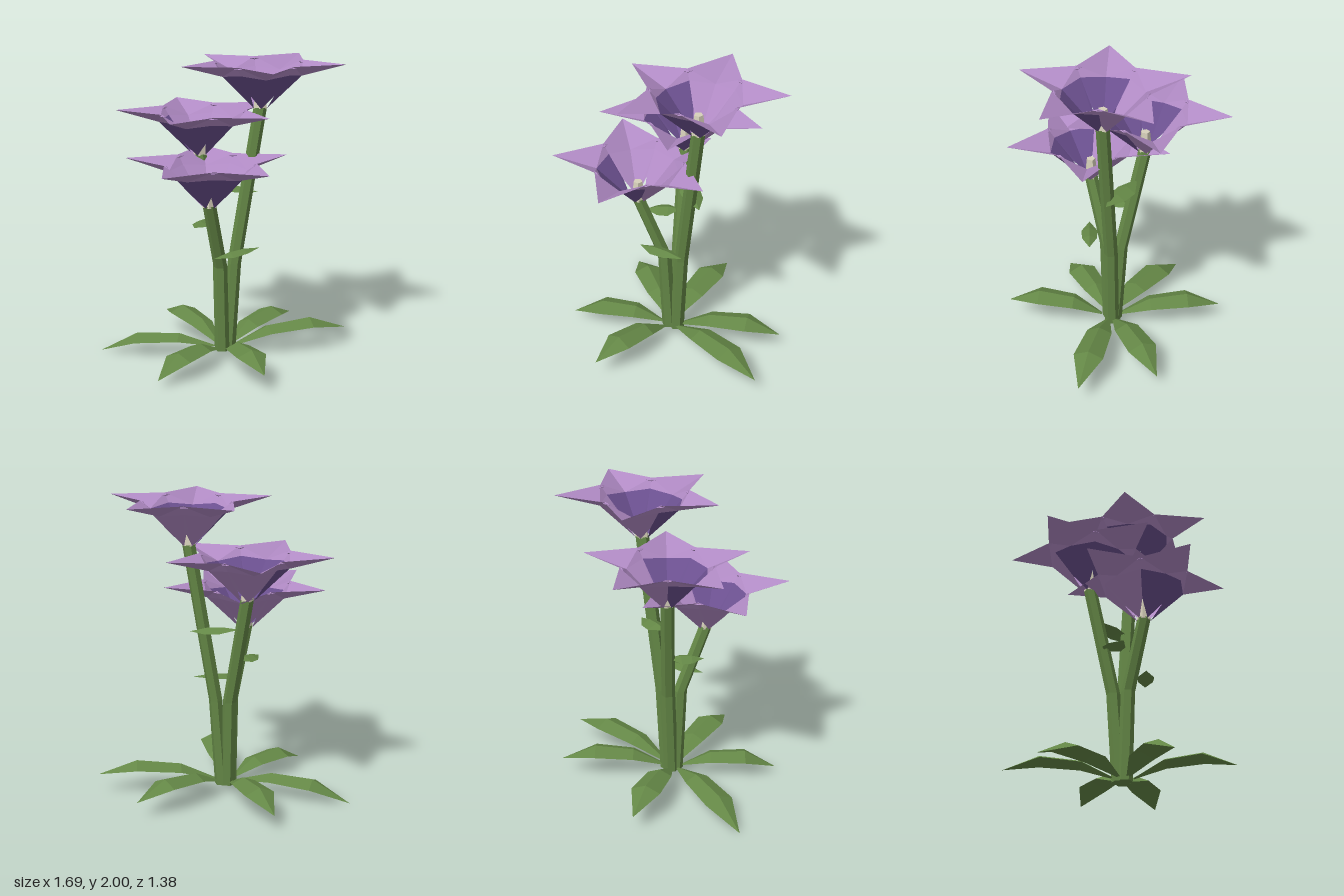
import * as THREE from 'three';

const petalPurple = new THREE.MeshStandardMaterial({ color: 0xb08ac4, side: THREE.DoubleSide });
petalPurple.name = 'petal purple';
const throatViolet = new THREE.MeshStandardMaterial({ color: 0x6b508f, side: THREE.DoubleSide });
throatViolet.name = 'throat violet';
const leafGreen = new THREE.MeshStandardMaterial({ color: 0x648746, side: THREE.DoubleSide });
leafGreen.name = 'leaf green';
const pistilCream = new THREE.MeshStandardMaterial({ color: 0xd6d0ba });
pistilCream.name = 'pistil cream';

// Flat-shaded skin between rows of points; mirrored flips the diagonals of even columns
function loft(rows, mirrored = false) {
  const pos = [];
  const tri = (...pts) => pts.forEach((p) => pos.push(p.x, p.y, p.z));
  for (let i = 0; i < rows.length - 1; i++) {
    for (let j = 0; j < rows[i].length - 1; j++) {
      const a = rows[i][j], b = rows[i][j + 1], c = rows[i + 1][j + 1], d = rows[i + 1][j];
      if (mirrored && j % 2 === 0) { tri(a, b, d); tri(b, c, d); }
      else { tri(a, b, c); tri(a, c, d); }
    }
  }
  const geo = new THREE.BufferGeometry();
  geo.setAttribute('position', new THREE.Float32BufferAttribute(pos, 3));
  geo.computeVertexNormals();
  return geo;
}

function mesh(name, geo, mat) {
  const m = new THREE.Mesh(geo, mat);
  m.name = name;
  return m;
}

const polar = (r, angle, y) => new THREE.Vector3(r * Math.cos(angle), y, r * Math.sin(angle));

// Hexagonal stem through a few centre points, closed at both ends
function stem(path) {
  const rows = path.map(([x, y, z], i) => {
    const r = [0.05, 0.046, 0.044][i];
    return Array.from({ length: 7 }, (_, j) =>
      polar(r, -(j % 6) * Math.PI / 3, 0).add(new THREE.Vector3(x, y, z)));
  });
  const cap = (p) => rows[0].map(() => new THREE.Vector3(...p));
  return mesh('stem', loft([cap(path[0]), ...rows, cap(path[2])]), leafGreen);
}

// Ridged leaf: spine points with half widths, the edges hang below the ridge
function leaf(name, spine, widths, droop) {
  const pts = spine.map((p) => new THREE.Vector3(...p));
  const dir = pts[pts.length - 1].clone().sub(pts[0]).setY(0).normalize();
  const side = new THREE.Vector3(-dir.z, 0, dir.x);
  const rows = pts.map((p, i) => [-1, 0, 1].map((s) => {
    const q = p.clone().addScaledVector(side, s * widths[i]);
    q.y -= Math.abs(s) * droop * widths[i];
    return q;
  }));
  return mesh(name, loft(rows), leafGreen);
}

function baseLeaf(x, y, z) {
  const r0 = 0.06 / Math.hypot(x, z), mid = 0.14 + 0.65 * y;
  const at = (t, h) => [x * t, h, z * t];
  return leaf('baseLeaf',
    [at(r0, 0.075), at(0.36, mid * 0.5 + 0.08), at(0.7, mid), at(1, y)],
    [0.012, 0.085, 0.1, 0], 0.42);
}

function stemLeaf(a, b, width) {
  const at = (t, lift) => a.map((v, i) => v + (b[i] - v) * t + (i === 1 ? lift : 0));
  return leaf('stemLeaf', [at(0, 0), at(0.35, 0.02), at(0.65, 0.02), at(1, 0)],
    [0, width, width * 0.9, 0], 0.45);
}

// Five-pointed funnel flower, open in slits between the petals at its base
function flower(x, rimY, z, degrees) {
  const g = new THREE.Group();
  g.name = 'flower';
  const start = THREE.MathUtils.degToRad(degrees);
  const rings = [ // tip radius, tip height, notch radius, notch height
    [0.045, -0.3, 0.13, -0.205],
    [0.27, -0.08, 0.262, -0.06],
    [0.557, 0, 0.31, 0],
  ];

  for (let k = 0; k < 5; k++) {
    const a = start + k * Math.PI * 0.4, half = Math.PI / 5;
    const rows = rings.map(([rt, yt, rn, yn]) =>
      [polar(rn, a - half, yn), polar(rt, a, yt), polar(rn, a + half, yn)]);
    // The throat is violet on the front petals
    g.add(mesh('petalThroat', loft(rows.slice(0, 2), true),
      Math.sin(a) > 0 ? throatViolet : petalPurple));
    g.add(mesh('petalTip', loft(rows.slice(1), true), petalPurple));

    // Small curled fold where neighbouring petals meet
    const fold = mesh('petalFold', new THREE.OctahedronGeometry(1), petalPurple);
    fold.scale.set(0.012, 0.012, 0.035);
    fold.position.copy(polar(0.297, a + half, -0.012));
    fold.rotation.y = -a - half;
    g.add(fold);
  }

  const pistil = mesh('pistil',
    new THREE.CylinderGeometry(0.03, 0.046, 0.14, 5).toNonIndexed(), pistilCream);
  pistil.geometry.computeVertexNormals();
  pistil.position.y = -0.23;
  g.add(pistil);
  g.position.set(x, rimY, z);
  return g;
}

export function createModel() {
  const plant = new THREE.Group();
  plant.name = 'floweringPlant';

  // Stems and their flowers
  plant.add(
    stem([[0.03, 0.05, -0.03], [0.07, 0.65, -0.045], [0.236, 1.705, -0.083]]),
    stem([[-0.01, 0.05, -0.03], [-0.03, 0.65, -0.065], [-0.165, 1.375, -0.165]]),
    stem([[-0.01, 0.05, 0.01], [-0.02, 0.65, 0.04], [-0.085, 1.11, 0.2]]),
    flower(0.236, 2, -0.084, 10),
    flower(-0.165, 1.67, -0.165, 178),
    flower(-0.085, 1.4, 0.2, 46.2),
  );

  // Small leaves along the stems
  plant.add(
    stemLeaf([-0.06, 0.75, 0.2], [0.24, 0.78, 0.02], 0.055),
    stemLeaf([-0.11, 1.17, -0.14], [0.23, 1.13, -0.1], 0.07),
    stemLeaf([-0.08, 0.95, -0.1], [-0.19, 0.935, 0.11], 0.07),
  );

  // Rosette of ground leaves, given by their tips
  const tips = [[0.84, 0.13, -0.25], [0.46, 0.11, -0.62], [-0.44, 0.11, -0.63],
    [-0.85, 0, -0.08], [-0.4, 0.05, 0.58], [0.28, 0.13, 0.66]];
  tips.forEach((t) => plant.add(baseLeaf(...t)));
  return plant;
}
